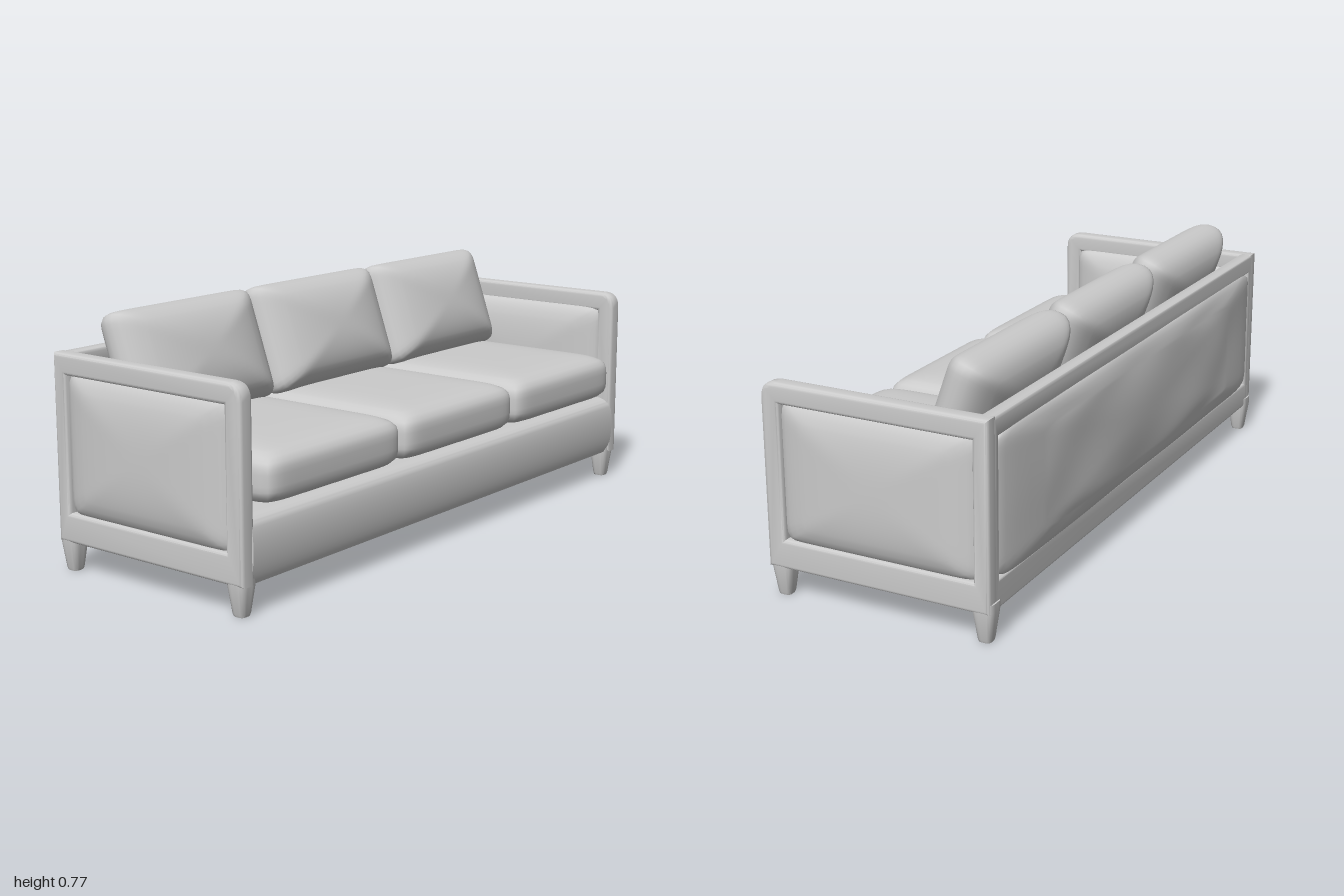
import * as THREE from 'three';
import { mergeVertices, toCreasedNormals } from 'three/addons/utils/BufferGeometryUtils.js';

const material = new THREE.MeshStandardMaterial({ color: 0xcccccc });

// Stuffed pad: a subdivided box pulled onto a superellipsoid that is thin along z.
// plan = squareness of the outline, puff = squareness of the edge.
function padGeometry(w, h, t, plan, puff, wobble = 0) {
  const geo = new THREE.BoxGeometry(2, 2, 2, 28, 20, 10);
  geo.deleteAttribute('normal');
  geo.deleteAttribute('uv');
  const merged = mergeVertices(geo);
  const pos = merged.attributes.position;
  for (let i = 0; i < pos.count; i++) {
    const x = pos.getX(i), y = pos.getY(i), z = pos.getZ(i);
    const flat = Math.pow(Math.abs(x) ** plan + Math.abs(y) ** plan, 1 / plan);
    const k = Math.pow(flat ** puff + Math.abs(z) ** puff, -1 / puff);
    const ripple = 1 + wobble * Math.sin(x * 8 + 1) * Math.cos(y * 3 - 0.5);
    pos.setXYZ(i, x * k * w / 2, y * k * h / 2, z * k * ripple * t / 2);
  }
  merged.computeVertexNormals();
  return merged;
}

// Open rectangular frame in the xy plane, with softened edges.
function frameGeometry(x0, x1, y0, y1, hole, depth, corner) {
  const s = new THREE.Shape();
  s.moveTo(x0, y0);
  s.lineTo(x1, y0);
  s.lineTo(x1, y1);
  s.lineTo(x0 + corner, y1);
  if (corner) s.quadraticCurveTo(x0, y1, x0, y1 - corner);
  s.closePath();
  const [a, b, c, d] = hole;
  const p = new THREE.Path();
  p.moveTo(a, c);
  p.lineTo(a, d);
  p.lineTo(b, d);
  p.lineTo(b, c);
  p.closePath();
  s.holes.push(p);
  const bevel = 0.012;
  const geo = new THREE.ExtrudeGeometry(s, {
    depth: depth - 2 * bevel, bevelEnabled: true, bevelSize: bevel,
    bevelThickness: bevel, bevelOffset: -bevel, bevelSegments: 4, curveSegments: 6,
  });
  geo.translate(0, 0, -depth / 2 + bevel);
  return toCreasedNormals(geo, 0.7);
}

// Tapered leg, square with rounded corners; its top is wider than its foot.
function legGeometry() {
  const rings = [[0, 0.018], [0.008, 0.021], [0.095, 0.033], [0.12, 0.033]];
  const geo = new THREE.LatheGeometry(
    [new THREE.Vector2(0, 0), ...rings.map(([y, r]) => new THREE.Vector2(r, y)), new THREE.Vector2(0, 0.12)], 24);
  const pos = geo.attributes.position;
  for (let i = 0; i < pos.count; i++) {
    const x = pos.getX(i), z = pos.getZ(i), r = Math.hypot(x, z);
    if (r < 1e-6) continue;
    const k = r / Math.pow(x ** 4 + z ** 4, 1 / 4);
    pos.setX(i, x * k);
    pos.setZ(i, z * k);
  }
  geo.computeVertexNormals();
  return toCreasedNormals(geo, 0.8);
}

export function createModel() {
  const sofa = new THREE.Group();
  sofa.name = 'sofa';
  const add = (name, geo, x, y, z) => {
    const mesh = new THREE.Mesh(geo, material);
    mesh.name = name;
    mesh.position.set(x, y, z);
    sofa.add(mesh);
    return mesh;
  };

  // Arms: a frame with a rounded front corner around a stuffed panel
  const armFrame = frameGeometry(-0.36, 0.36, 0.09, 0.65, [-0.3, 0.31, 0.18, 0.587], 0.052, 0.05);
  armFrame.rotateY(Math.PI / 2);
  const armPanel = padGeometry(0.635, 0.43, 0.116, 16, 2.5);
  armPanel.rotateY(Math.PI / 2);
  for (const side of [1, -1]) {
    const label = side > 0 ? 'left' : 'right';
    add(label + 'ArmFrame', armFrame, side * 0.954, 0, 0);
    add(label + 'ArmPanel', armPanel, side * 0.942, 0.384, -0.005);
  }

  // Back: a long frame, a slightly rippled outer panel and a sloping inner lining
  add('backFrame', frameGeometry(-0.95, 0.95, 0.09, 0.65, [-0.915, 0.915, 0.18, 0.587], 0.045, 0), 0, 0, -0.338);
  add('backPanel', padGeometry(1.86, 0.43, 0.074, 16, 2.4, 0.1), 0, 0.384, -0.35);
  const lining = add('backLining', padGeometry(1.78, 0.33, 0.04, 16, 3), 0, 0.435, -0.285);
  lining.rotation.x = -0.24;

  // Front apron: a bulging profile with a sloping inner face, swept between the arms
  const apron = new THREE.Shape();
  apron.moveTo(-0.35, 0.09);
  apron.bezierCurveTo(-0.368, 0.13, -0.372, 0.22, -0.355, 0.262);
  apron.quadraticCurveTo(-0.345, 0.276, -0.32, 0.28);
  apron.lineTo(-0.2, 0.29);
  apron.quadraticCurveTo(-0.28, 0.24, -0.305, 0.13);
  apron.lineTo(-0.305, 0.09);
  apron.closePath();
  const apronGeo = new THREE.ExtrudeGeometry(apron, { depth: 1.88, bevelEnabled: false, curveSegments: 12 });
  apronGeo.translate(0, 0, -0.94);
  apronGeo.rotateY(Math.PI / 2);
  add('frontApron', toCreasedNormals(apronGeo, 0.6), 0, 0, 0);

  // Three seat cushions with three leaning back cushions
  const places = [[-0.593, 0.612, 0.585], [0.007, 0.592, 0.585], [0.603, 0.602, 0.585]];
  places.forEach(([x, seatWidth, backWidth], i) => {
    const seat = padGeometry(seatWidth, 0.635, 0.168, 12, 4.6);
    seat.rotateX(-Math.PI / 2);
    add('seatCushion' + (i + 1), seat, x, 0.368, 0.068);
    const back = add('backCushion' + (i + 1), padGeometry(backWidth, 0.345, 0.205, 16, 2.3), x, 0.598, -0.188);
    back.rotation.x = -0.34;
  });

  // Legs
  const leg = legGeometry();
  for (const [end, z] of [['front', 0.324], ['back', -0.332]]) {
    for (const side of [1, -1]) {
      add(end + (side > 0 ? 'Left' : 'Right') + 'Leg', leg, side * 0.945, 0, z);
    }
  }
  return sofa;
}
